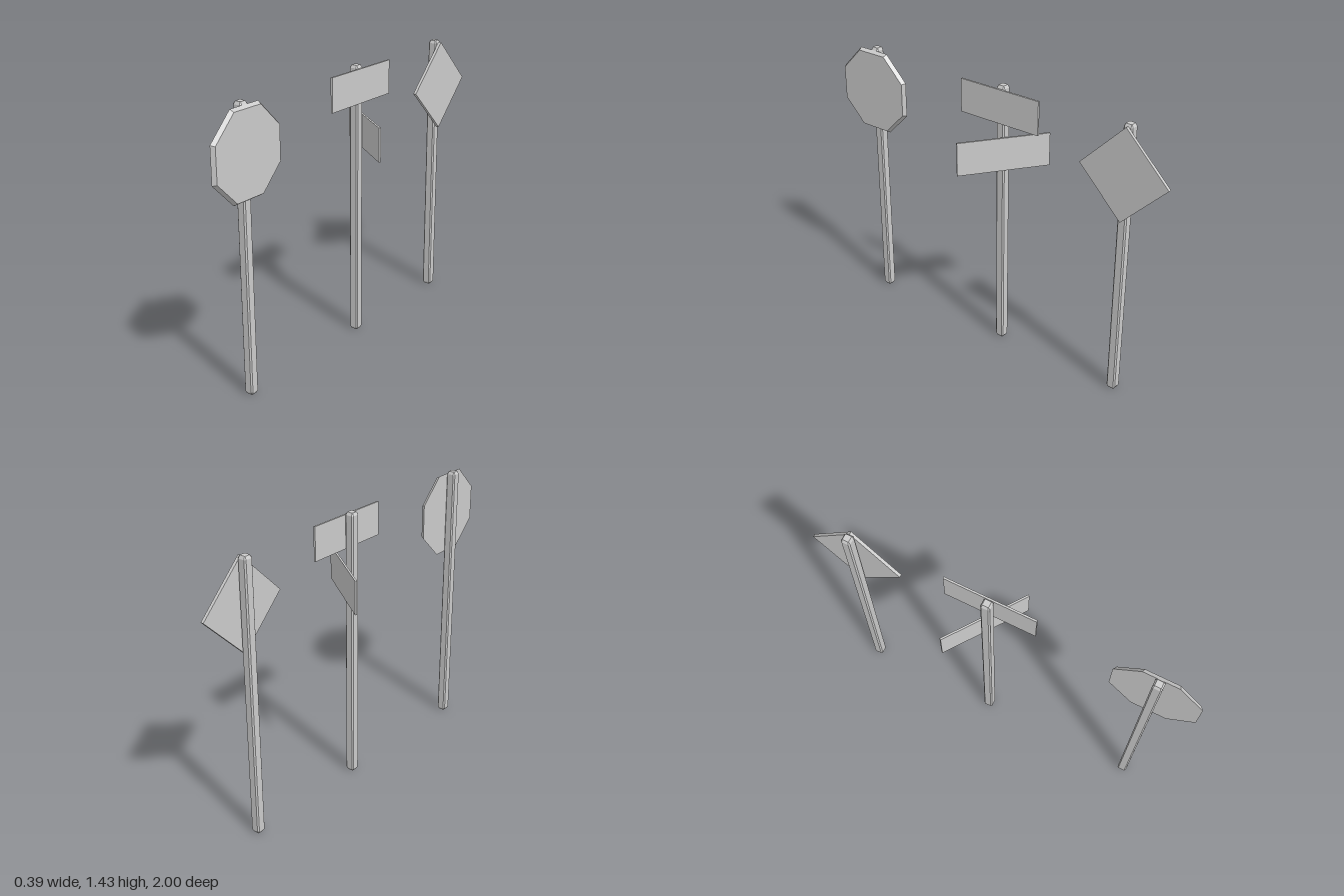
import * as THREE from 'three';

const material = new THREE.MeshStandardMaterial({ color: 0xcccccc, flatShading: true });

function addMesh(parent, name, geometry, x, y, z) {
  const mesh = new THREE.Mesh(geometry, material);
  mesh.name = name;
  mesh.position.set(x, y, z);
  parent.add(mesh);
  return mesh;
}

// Square post with chamfered corners and bevelled ends
function postGeometry(width, height, chamfer, bevel) {
  const h = width / 2 - bevel, c = h - chamfer;
  const shape = new THREE.Shape([
    [h, -c], [h, c], [c, h], [-c, h], [-h, c], [-h, -c], [-c, -h], [c, -h],
  ].map(([x, y]) => new THREE.Vector2(x, y)));
  const end = 0.014;
  const geometry = new THREE.ExtrudeGeometry(shape, {
    depth: height - 2 * end, bevelEnabled: true, bevelSegments: 1, bevelSize: bevel, bevelThickness: end,
  });
  return geometry.translate(0, 0, end).rotateX(-Math.PI / 2);
}

// Octagonal plate facing +x, its front slightly smaller than its back
function octagonGeometry(frontWidth, backWidth, thickness) {
  const k = 2 * Math.cos(Math.PI / 8);
  return new THREE.CylinderGeometry(frontWidth / k, backWidth / k, thickness, 8)
    .rotateY(Math.PI / 8)
    .rotateZ(-Math.PI / 2);
}

export function createModel() {
  const model = new THREE.Group();
  model.name = 'roadSigns';

  const post = postGeometry(0.048, 1.434, 0.002, 0.008);
  const signs = ['octagonSign', 'directionSign', 'diamondSign'].map((name, i) => {
    const group = new THREE.Group();
    group.name = name;
    group.position.z = [0.78, -0.052, -0.762][i];
    addMesh(group, 'post', post, -0.032, 0, 0);
    model.add(group);
    return group;
  });
  const [octagon, direction, diamond] = signs;

  // Octagonal plate
  addMesh(octagon, 'octagonPlate', octagonGeometry(0.412, 0.436, 0.02), 0.002, 1.202, 0.002);

  // Two crossing street name plates
  const plate = new THREE.BoxGeometry(0.01, 0.173, 0.468);
  addMesh(direction, 'upperPlate', plate, -0.002, 1.332, 0);
  addMesh(direction, 'lowerPlate', plate, -0.002, 1.09, -0.029).rotation.y = 0.956;

  // Square plate standing on its corner
  const side = 0.472 / Math.SQRT2;
  addMesh(diamond, 'diamondPlate', new THREE.BoxGeometry(0.016, side, side), 0, 1.19, -0.002)
    .rotation.x = Math.PI / 4;

  return model;
}
